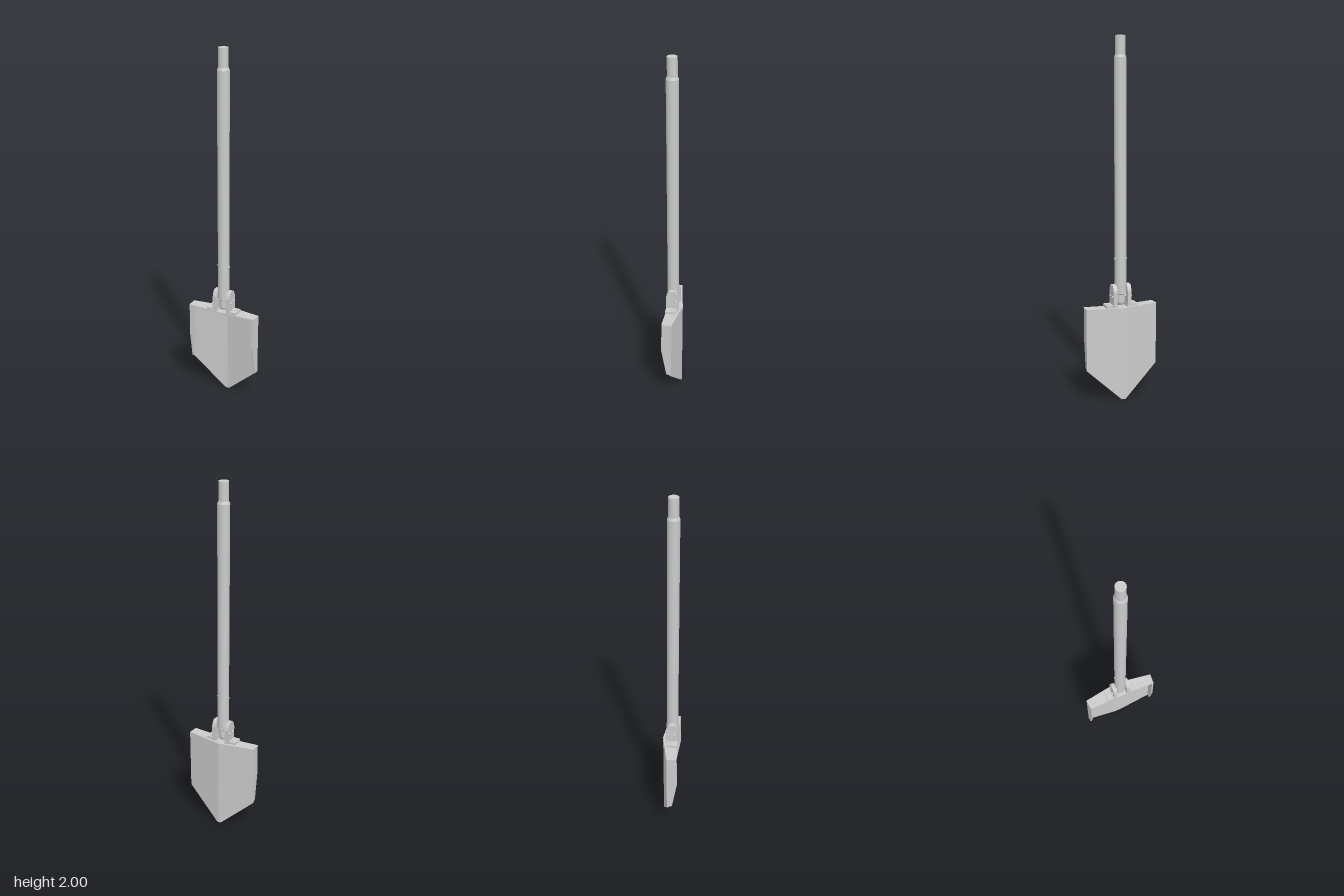
import * as THREE from 'three';

const material = new THREE.MeshStandardMaterial({ color: 0xcccccc, side: THREE.DoubleSide });
const flat = new THREE.MeshStandardMaterial({ color: 0xcccccc, side: THREE.DoubleSide, flatShading: true });
const V = (x, y, z) => new THREE.Vector3(x, y, z);

// Sheet-metal panel: a convex polygon thickened by an offset vector
function slab(points, offset) {
  const normal = points[1].clone().sub(points[0]).cross(points[2].clone().sub(points[0]));
  const a = normal.dot(offset) > 0 ? [...points].reverse() : points;
  const b = a.map((p) => p.clone().add(offset));
  const tris = [];
  for (let i = 1; i < a.length - 1; i++) tris.push(a[0], a[i], a[i + 1], b[0], b[i + 1], b[i]);
  a.forEach((p, i) => {
    const j = (i + 1) % a.length;
    tris.push(p, b[i], b[j], p, b[j], a[j]);
  });
  const geometry = new THREE.BufferGeometry().setFromPoints(tris);
  geometry.computeVertexNormals();
  return geometry;
}

export function createModel() {
  const model = new THREE.Group();
  model.name = 'foldingShovel';
  const add = (parent, name, geometry, mat = material) => {
    const mesh = new THREE.Mesh(geometry, mat);
    mesh.name = name;
    parent.add(mesh);
    return mesh;
  };

  const blade = new THREE.Group();
  blade.name = 'blade';
  const hinge = new THREE.Group();
  hinge.name = 'hinge';
  model.add(blade, hinge);

  // Bracket ear outline: x runs towards the back, y is up
  const ear = new THREE.Shape();
  ear.moveTo(-0.042, 0.53);
  ear.lineTo(-0.042, 0.615);
  ear.quadraticCurveTo(-0.038, 0.64, -0.023, 0.655);
  ear.lineTo(0.008, 0.655);
  ear.quadraticCurveTo(0.024, 0.64, 0.028, 0.615);
  ear.lineTo(0.028, 0.53);
  const earGeometry = new THREE.ExtrudeGeometry(ear, { depth: 0.022, bevelEnabled: false, curveSegments: 6 });
  earGeometry.rotateY(Math.PI / 2);

  for (const s of [1, -1]) {
    const side = s > 0 ? 'left' : 'right';

    // Folded back plate, pointed at the bottom
    add(blade, side + 'BladePlate', slab([
      V(0, 0.53, -0.047), V(s * 0.206, 0.53, -0.014), V(s * 0.206, 0.18, -0.012),
      V(s * 0.012, 0, -0.043), V(0, 0, -0.044),
    ], V(0, 0, 0.008)), flat);

    // Top step
    add(blade, side + 'BladeStep', slab([
      V(0, 0.53, -0.047), V(s * 0.206, 0.533, -0.014), V(s * 0.203, 0.533, 0.043), V(0, 0.526, 0.038),
    ], V(0, -0.01, 0)), flat);

    // Side wall tapering towards the point
    add(blade, side + 'BladeWall', slab([
      V(s * 0.207, 0.533, -0.014), V(s * 0.202, 0.533, 0.043), V(s * 0.202, 0.35, 0.045),
      V(s * 0.204, 0.19, 0.017), V(s * 0.206, 0.18, -0.012),
    ], V(-s * 0.009, 0, 0)), flat);

    // Bracket foot and upright ear
    const foot = add(hinge, side + 'BracketFoot', new THREE.BoxGeometry(0.062, 0.014, 0.062));
    foot.position.set(s * 0.06, 0.537, 0.01);
    const upright = add(hinge, side + 'BracketEar', earGeometry);
    upright.position.x = s > 0 ? 0.03 : -0.052;

    // Domed rivets on the foot and on the ear
    const rivet = new THREE.SphereGeometry(0.007, 12, 8);
    add(hinge, side + 'FootRivet', rivet).position.set(s * 0.071, 0.545, 0.001);
    for (const z of [-0.014, 0.022]) {
      add(hinge, side + 'EarRivet', rivet).position.set(s * 0.053, 0.59, z);
    }
  }

  // Pivot pin between the ears
  const pin = add(hinge, 'pivotPin', new THREE.CylinderGeometry(0.012, 0.012, 0.09, 16));
  pin.rotation.z = Math.PI / 2;
  pin.position.set(0, 0.59, 0.007);

  // Tubular shaft with a narrow foot and a reduced top end, leaning slightly forward
  const profile = [
    [0, 0.535], [0.018, 0.54], [0.025, 0.555], [0.025, 0.6], [0.032, 0.605],
    [0.033, 1.885], [0.027, 1.9], [0.027, 2], [0, 2],
  ];
  // Each section is its own band so its edges stay crisp
  const shaft = new THREE.Group();
  shaft.name = 'shaft';
  profile.slice(1).forEach(([r, y], i) => {
    const [r0, y0] = profile[i];
    const band = new THREE.LatheGeometry([new THREE.Vector2(r0, y0), new THREE.Vector2(r, y)], 32);
    const p = band.attributes.position;
    for (let k = 0; k < p.count; k++) p.setZ(k, p.getZ(k) + 0.007 + 0.005 * (p.getY(k) - 0.53) / 1.47);
    add(shaft, 'shaftSection', band);
  });
  model.add(shaft);

  // Locking pin heads low on the shaft
  const lock = add(shaft, 'lockingPin', new THREE.CylinderGeometry(0.008, 0.008, 0.07, 12));
  lock.rotation.z = Math.PI / 2;
  lock.position.set(0, 0.8, 0.008);

  return model;
}
